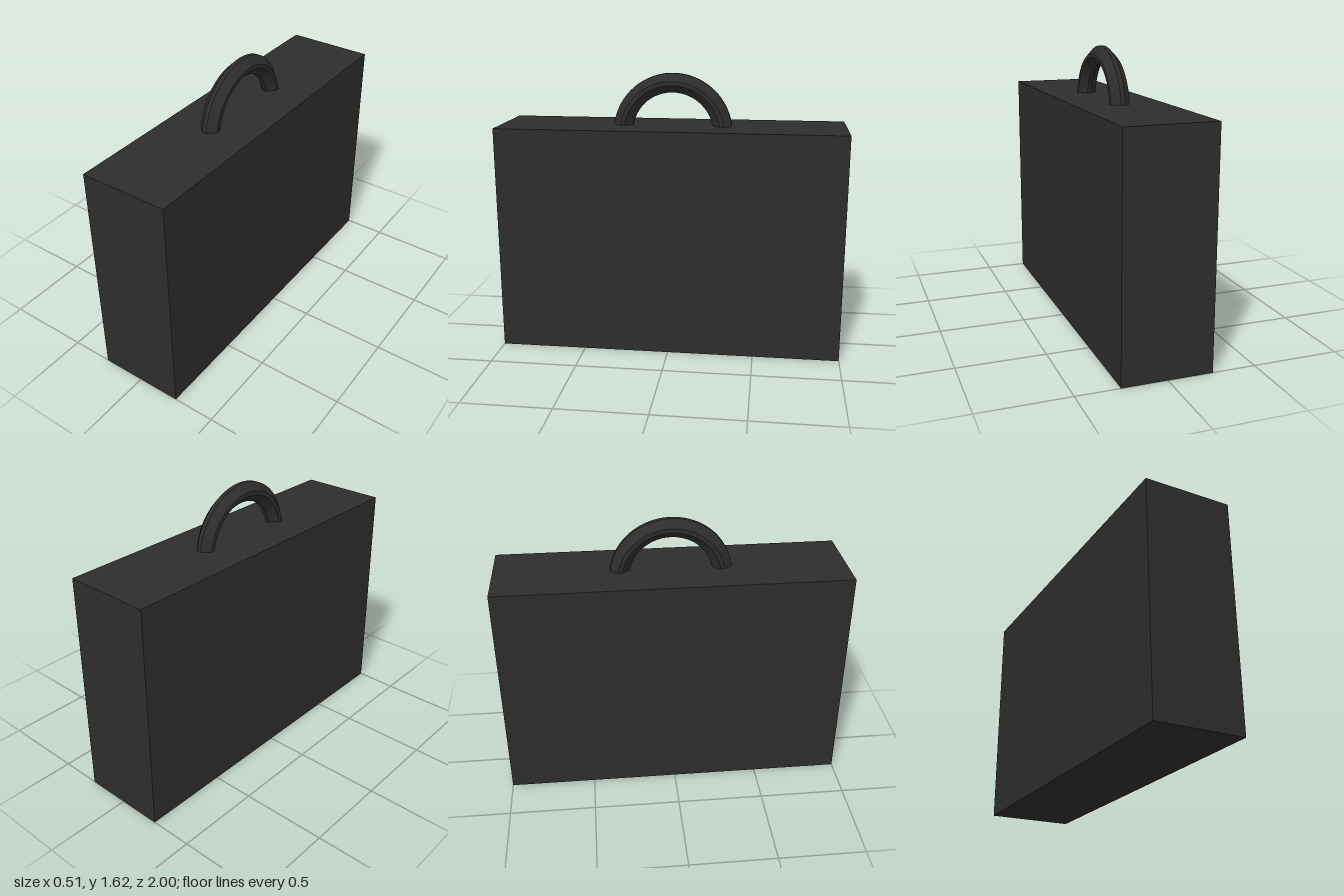
import * as THREE from 'three';

export function createModel() {
  const model = new THREE.Group();
  model.name = 'briefcase';
  const charcoal = new THREE.MeshStandardMaterial({ color: 0x2d2d2d, flatShading: true });
  charcoal.name = 'charcoal';

  // Case body
  const height = 1.32;
  const body = new THREE.Mesh(new THREE.BoxGeometry(0.51, height, 2), charcoal);
  body.name = 'caseBody';
  body.position.y = height / 2;
  model.add(body);

  // Handle: a square bar with wide bevels, swept around a half circle
  const radius = 0.293, half = 0.055, flat = 0.012;
  const profile = [
    [half, -flat], [half, flat], [flat, half], [-flat, half],
    [-half, flat], [-half, -flat], [-flat, -half], [flat, -half], [half, -flat],
  ].map(([r, y]) => new THREE.Vector2(radius + r, y));
  const arch = new THREE.LatheGeometry(profile, 48, 0, Math.PI);
  arch.rotateZ(Math.PI / 2);
  const handle = new THREE.Mesh(arch, charcoal);
  handle.name = 'handle';
  handle.position.y = 1.272; // ends are sunk into the case
  model.add(handle);

  return model;
}
